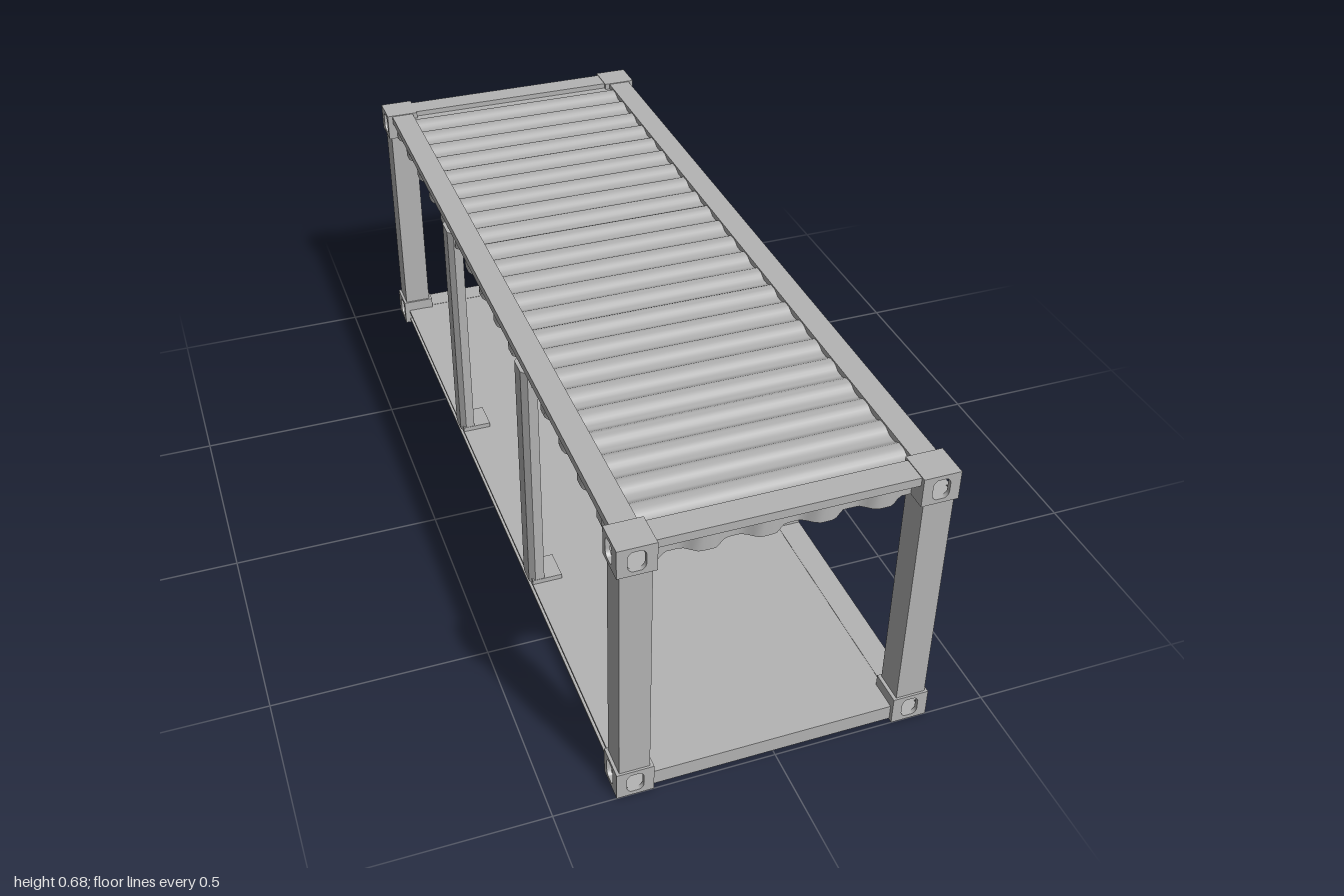
import * as THREE from 'three';
import { toCreasedNormals } from 'three/addons/utils/BufferGeometryUtils.js';

export function createModel() {
  const model = new THREE.Group();
  model.name = 'containerFrame';
  const steel = new THREE.MeshStandardMaterial({ color: 0xb4b4b4, side: THREE.DoubleSide });
  steel.name = 'grey steel';

  const add = (name, geometry, parent = model) => {
    const mesh = new THREE.Mesh(geometry, steel);
    mesh.name = name;
    parent.add(mesh);
    return mesh;
  };
  // box given by its minimum and maximum corners
  const box = (name, x0, x1, y0, y1, z0, z1, parent) => {
    const g = new THREE.BoxGeometry(Math.abs(x1 - x0), Math.abs(y1 - y0), Math.abs(z1 - z0));
    g.translate((x0 + x1) / 2, (y0 + y1) / 2, (z0 + z1) / 2);
    return add(name, g, parent);
  };
  const signs = [-1, 1];
  const T = 0.01;

  // plate with a rounded slot, centred on the origin
  function slottedPlate(w, h) {
    const s = new THREE.Shape();
    s.moveTo(-w / 2, -h / 2);
    s.lineTo(w / 2, -h / 2);
    s.lineTo(w / 2, h / 2);
    s.lineTo(-w / 2, h / 2);
    s.closePath();
    const hole = new THREE.Path();
    const a = 0.019, b = 0.025, r = 0.015;
    hole.absarc(a - r, b - r, r, 0, Math.PI / 2);
    hole.absarc(r - a, b - r, r, Math.PI / 2, Math.PI);
    hole.absarc(r - a, r - b, r, Math.PI, Math.PI * 1.5);
    hole.absarc(a - r, r - b, r, Math.PI * 1.5, Math.PI * 2);
    s.holes.push(hole);
    const g = new THREE.ExtrudeGeometry(s, { depth: T, bevelEnabled: false, curveSegments: 6 });
    return g.translate(0, 0, -T / 2);
  }

  // hollow corner castings: slots on the end and side faces
  function casting(sx, sz, y) {
    const c = new THREE.Group();
    c.name = 'cornerCasting';
    const w = 0.083, h = 0.068, d = 0.08;
    add('endPlate', slottedPlate(w, h), c).position.z = sz * (d / 2 - T / 2);
    const side = add('sidePlate', slottedPlate(d - T, h), c);
    side.rotation.y = Math.PI / 2;
    side.position.set(sx * (w / 2 - T / 2), 0, -sz * T / 2);
    for (const s of signs) {
      const p = box('capPlate', -w / 2, w / 2, -T / 2, T / 2, -d / 2, d / 2, c);
      p.position.y = s * (h / 2 - T / 2);
    }
    box('innerSide', -sx * w / 2, -sx * (w / 2 - T), -h / 2, h / 2, -d / 2, d / 2, c);
    box('innerEnd', -w / 2, w / 2, -h / 2, h / 2, -sz * d / 2, -sz * (d / 2 - T), c);
    c.position.set(sx * 0.3185, y, sz * 0.96);
    model.add(c);
  }

  for (const sx of signs) for (const sz of signs) {
    casting(sx, sz, 0.034);
    casting(sx, sz, 0.646);
    box('cornerPost', sx * 0.285, sx * 0.353, 0.068, 0.612, sz * 0.925, sz * 0.995);
  }

  // trapezoid-like wave between 0 and 1
  const wave = (t, period) =>
    0.5 + 0.5 * THREE.MathUtils.clamp(1.5 * Math.cos((t / period) * Math.PI * 2), -1, 1);

  // corrugated strip hanging under a top rail, bent inwards at its upper edge
  function skirt(length, reach, angle, period) {
    const g = new THREE.PlaneGeometry(length, 1, Math.round(length / period) * 12, 2);
    const p = g.attributes.position;
    for (let i = 0; i < p.count; i++) {
      const row = p.getY(i);
      const deep = wave(p.getX(i) - 0.02, period);
      if (row > 0.25) p.setXYZ(i, p.getX(i), 0.658, reach);
      else p.setXYZ(i, p.getX(i), row < -0.25 ? 0.613 : 0.655 - 0.01 * deep, reach - 0.006 - 0.022 * deep);
    }
    add('corrugatedSkirt', toCreasedNormals(g, 0.65)).rotation.y = angle;
  }

  // rails and skirts
  for (const s of signs) {
    box('topSideRail', s * 0.29, s * 0.347, 0.658, 0.678, -0.92, 0.92);
    box('topEndRail', -0.277, 0.277, 0.658, 0.678, s * 0.93, s * 0.99);
    skirt(1.84, 0.343, s * Math.PI / 2, 0.125);
    skirt(0.56, 0.985, s > 0 ? 0 : Math.PI, 0.125);

    // channel-shaped bottom side rail
    box('bottomRailWeb', s * 0.29, s * 0.335, 0.008, 0.04, -0.92, 0.92);
    box('bottomRailTopFlange', s * 0.335, s * 0.347, 0.033, 0.04, -0.92, 0.92);
    box('bottomRailLowerFlange', s * 0.335, s * 0.347, 0.008, 0.013, -0.92, 0.92);
    box('bottomEndSill', -0.277, 0.277, 0.003, 0.04, s * 0.93, s * 0.99);
  }

  // corrugated sheet with ridges across the width
  function corrugatedSheet(name, y, amplitude) {
    const g = new THREE.PlaneGeometry(0.59, 1.87, 1, 276);
    g.rotateX(-Math.PI / 2);
    const p = g.attributes.position;
    for (let i = 0; i < p.count; i++) p.setY(i, y + amplitude * wave(p.getZ(i), 0.08));
    g.computeVertexNormals();
    add(name, g);
  }
  corrugatedSheet('roof', 0.664, 0.01);
  corrugatedSheet('floorUnderside', 0.012, 0.008);
  box('floor', -0.292, 0.292, 0.03, 0.039, -0.94, 0.94);

  // folded side posts with foot plates, and narrow cross beams below them
  for (const sz of signs) {
    box('crossBeam', -0.29, 0.29, 0.009, 0.03, sz * 0.32 - 0.006, sz * 0.32 + 0.006);
    for (const sx of signs) {
      const profile = [[0.318, -0.037], [0.34, -0.037], [0.352, -0.022], [0.352, 0.022], [0.34, 0.037], [0.318, 0.037]];
      const shape = new THREE.Shape(profile.map(([x, z]) => new THREE.Vector2(sx * x, z)));
      const g = new THREE.ExtrudeGeometry(shape, { depth: 0.61, bevelEnabled: false });
      g.rotateX(-Math.PI / 2);
      add('sidePost', g).position.set(0, 0.04, sz * 0.32);
      box('footPlate', sx * 0.275, sx * 0.347, 0.04, 0.052, sz * 0.32 - 0.038, sz * 0.32 + 0.038);
    }
  }
  return model;
}
